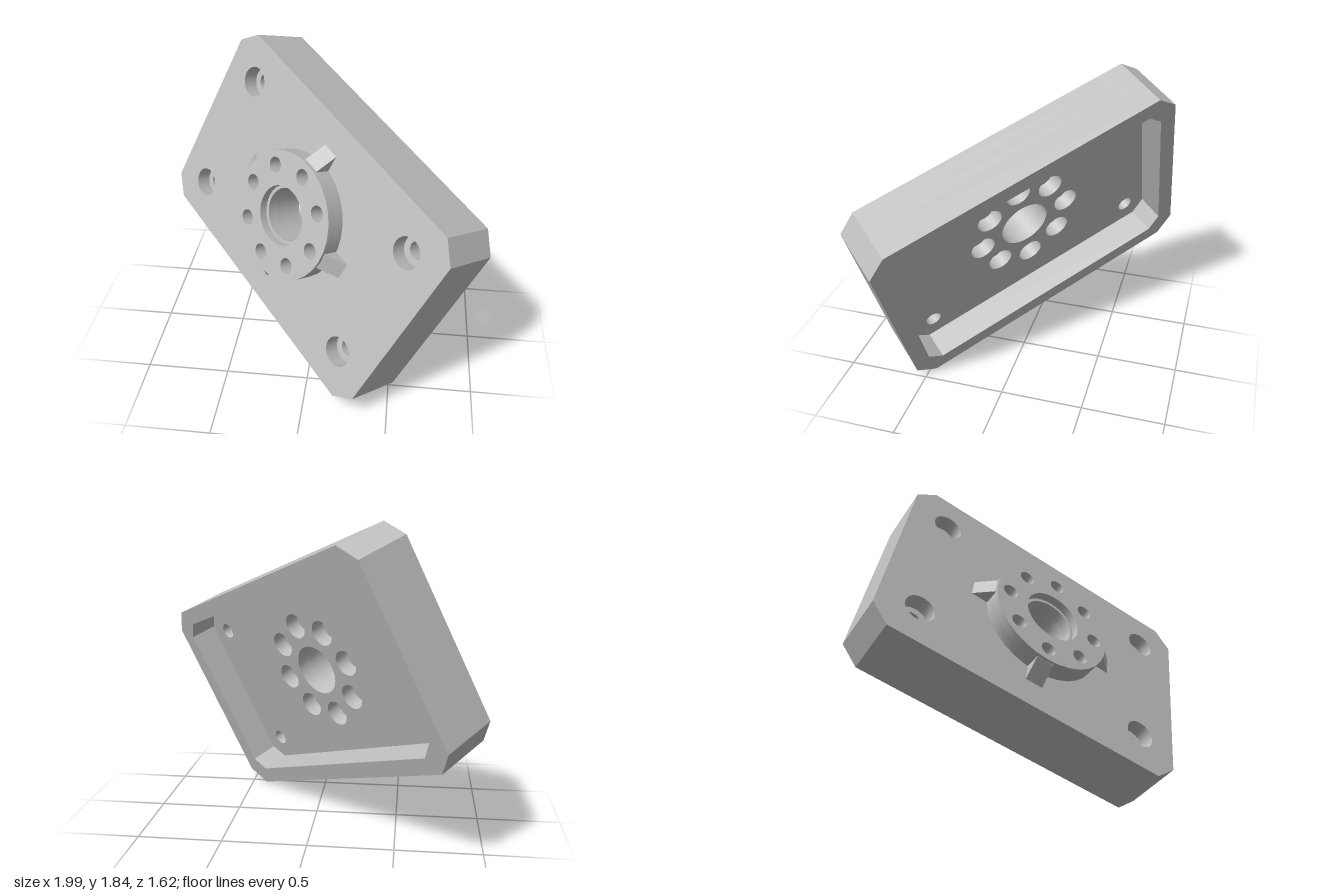
import * as THREE from 'three';
import { toCreasedNormals } from 'three/addons/utils/BufferGeometryUtils.js';

const LENGTH = 1.972, WIDTH = 1.307, DEPTH = 0.368;

export function createModel() {
  const metal = new THREE.MeshStandardMaterial({ color: 0xbfbfbf });
  metal.name = 'light grey metal';

  const model = new THREE.Group();
  model.name = 'mountingPlate';

  // Tilted body; its z = 0 is the front face of the plate
  const body = new THREE.Group();
  body.name = 'plateBody';
  const tilt = THREE.MathUtils.degToRad(25.6), turn = THREE.MathUtils.degToRad(43.25);
  body.rotation.set(0, -turn, -tilt, 'ZYX');
  const normal = new THREE.Vector3(0, 0, 1).applyEuler(body.rotation);
  body.position.set(0, 0.923, 0).addScaledVector(normal, DEPTH / 2);
  model.add(body);

  // Rectangle with cut corners
  const cutRect = (w, h, c, Type = THREE.Shape) => {
    const x = w / 2, y = h / 2;
    return new Type([
      [x, c - y], [x, y - c], [x - c, y], [c - x, y],
      [-x, y - c], [-x, c - y], [c - x, -y], [x - c, -y],
    ].map(([a, b]) => new THREE.Vector2(a, b)));
  };

  const circle = (x, y, r, Type = THREE.Path) => {
    const p = new Type();
    p.absarc(x, y, r, 0, Math.PI * 2, false);
    return p;
  };

  const boltHoles = (r) => Array.from({ length: 8 }, (_, i) =>
    circle(0.297 * Math.cos(i * Math.PI / 4), 0.297 * Math.sin(i * Math.PI / 4), r));

  const cornerHoles = (r) =>
    [[1, 1], [-1, 1], [-1, -1], [1, -1]].map(([i, j]) => circle(0.74 * i, 0.408 * j, r));

  // One slab of the body between two depths
  const layer = (name, shape, holes, z0, z1) => {
    shape.holes.push(...holes);
    const geo = new THREE.ExtrudeGeometry(shape, { depth: z1 - z0, bevelEnabled: false, curveSegments: 16 });
    geo.translate(0, 0, z0);
    const mesh = new THREE.Mesh(toCreasedNormals(geo, 0.5), metal);
    mesh.name = name;
    body.add(mesh);
  };

  const outline = () => cutRect(LENGTH, WIDTH, 0.11);
  const bore = 0.158;

  // Rear rim around the recess
  layer('rearRim', outline(), [cutRect(1.768, 1.103, 0.08, THREE.Path)], -DEPTH, -0.188);
  // Web: bolt counterbores open to the back, corner counterbores to the front
  layer('rearWeb', outline(), [circle(0, 0, bore), ...boltHoles(0.08), ...cornerHoles(0.05)], -0.188, -0.094);
  layer('frontWeb', outline(), [circle(0, 0, bore), ...boltHoles(0.047), ...cornerHoles(0.09)], -0.094, 0);
  // Round boss with a wider mouth on its bore
  layer('boss', circle(0, 0, 0.384, THREE.Shape), [circle(0, 0, bore), ...boltHoles(0.047)], 0, 0.065);
  layer('bossMouth', circle(0, 0, 0.384, THREE.Shape), [circle(0, 0, 0.178), ...boltHoles(0.047)], 0.065, 0.115);

  // Four sloped gussets around the boss
  const profile = new THREE.Shape([[0.365, 0], [0.484, 0], [0.384, 0.095], [0.365, 0.095]]
    .map(([r, h]) => new THREE.Vector2(r, h)));
  for (let i = 0; i < 4; i++) {
    const geo = new THREE.ExtrudeGeometry(profile, { depth: 0.108, bevelEnabled: false });
    geo.translate(0, 0, -0.054).rotateX(Math.PI / 2).rotateZ(i * Math.PI / 2);
    const gusset = new THREE.Mesh(geo, metal);
    gusset.name = 'gusset' + (i + 1);
    body.add(gusset);
  }

  return model;
}
